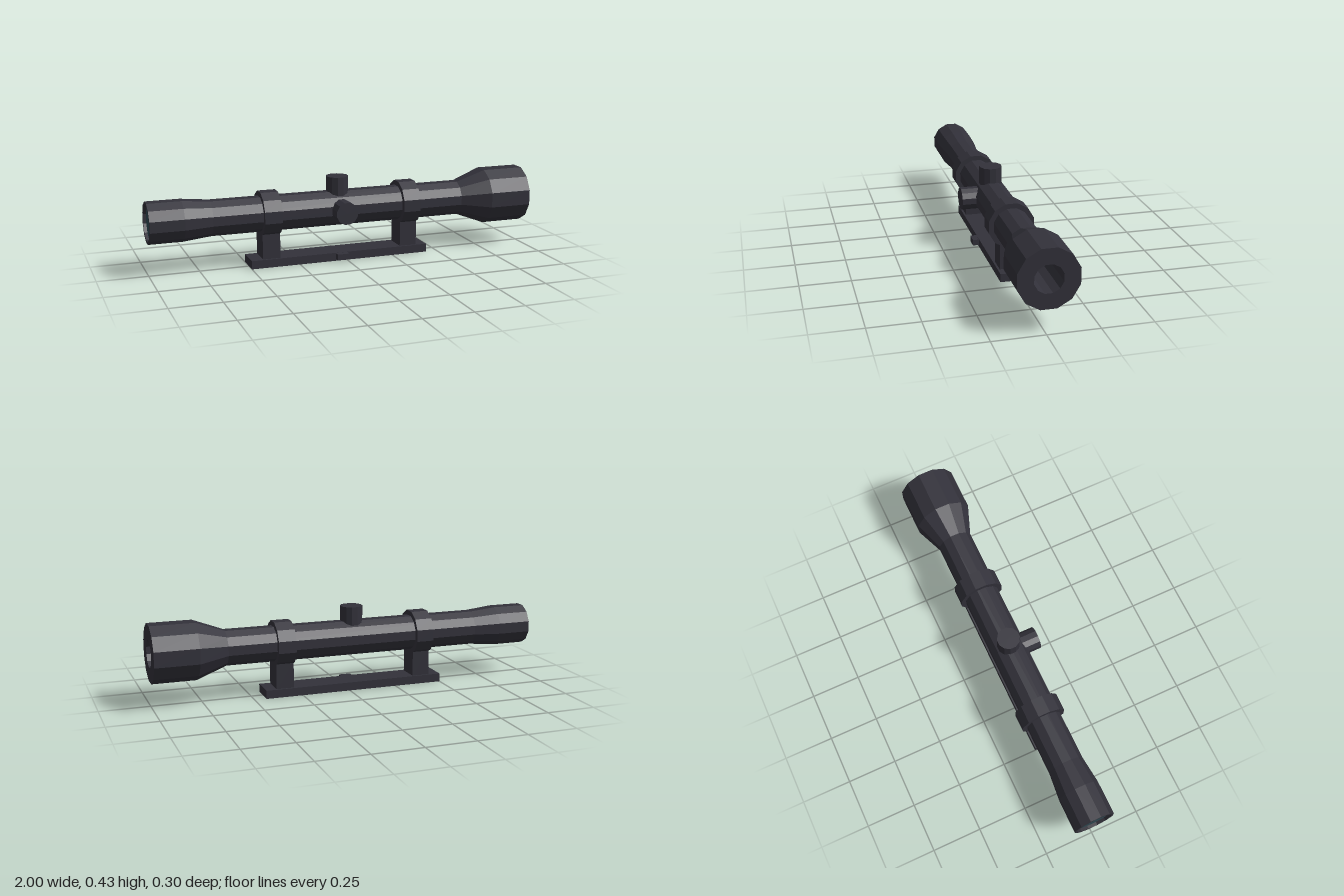
import * as THREE from 'three';

const AXIS_Y = 0.264, AXIS_Z = -0.007, KNOB_X = -0.03;
const SIDES = 12;
const CORNER = 1 / Math.cos(Math.PI / SIDES); // flat-to-flat radius -> corner radius

// Faceted 12-sided turning around y with flats facing the axes; profile is [flat radius, height]
function turned(profile) {
  const points = profile.map(([r, h]) => new THREE.Vector2(r * CORNER, h));
  const geo = new THREE.LatheGeometry(points, SIDES, Math.PI / SIDES).toNonIndexed();
  geo.computeVertexNormals();
  return geo;
}

export function createModel() {
  const group = new THREE.Group();
  const metal = new THREE.MeshStandardMaterial({ color: 0x32313a });
  metal.name = 'dark metal';
  const glass = new THREE.MeshStandardMaterial({ color: 0x2f4a53 });
  glass.name = 'teal glass';

  function add(name, geo, material, x, y, z) {
    const mesh = new THREE.Mesh(geo, material);
    mesh.name = name;
    mesh.position.set(x, y, z);
    group.add(mesh);
    return mesh;
  }
  const box = (name, w, h, d, x, y, z) =>
    add(name, new THREE.BoxGeometry(w, h, d), metal, x, y, z);
  const alongX = (name, profile, material, x) => {
    add(name, turned(profile), material, x, AXIS_Y, AXIS_Z).rotation.z = -Math.PI / 2;
  };

  // Main tube: recessed eyepiece, narrow middle, flared bell with a deep bore
  alongX('scopeTube', [
    [0.088, -0.98], [0.088, -1], [0.101, -1], [0.101, -0.83], [0.087, -0.69],
    [0.087, 0.63], [0.142, 0.78], [0.142, 1], [0.067, 1], [0.067, 0.6],
  ], metal, 0);

  // Lenses
  alongX('eyepieceLens', [[0, 0], [0.088, 0]], glass, -0.985);
  alongX('objectiveLens', [[0.067, 0], [0, 0]], glass, 0.62);

  // Mounting rings on posts
  for (const x of [-0.395, 0.34]) {
    alongX('mountRing', [
      [0.08, -0.045], [0.111, -0.045], [0.111, 0.045], [0.08, 0.045],
    ], metal, x);
    box('mountPost', 0.09, 0.15, 0.114, x, 0.11, AXIS_Z);
  }

  // Base rail and its clamp bolt
  box('baseRail', 0.94, 0.042, 0.135, -0.03, 0.021, AXIS_Z);
  box('clampBolt', 0.062, 0.03, 0.034, KNOB_X, 0.026, 0.076);

  // Adjustment knobs on top and on the front
  const knob = [[0, 0], [0.055, 0], [0.055, 0.1], [0, 0.1]];
  add('topKnob', turned(knob), metal, KNOB_X, 0.327, AXIS_Z);
  add('sideKnob', turned(knob), metal, KNOB_X, AXIS_Y, 0.05).rotation.x = Math.PI / 2;

  return group;
}
